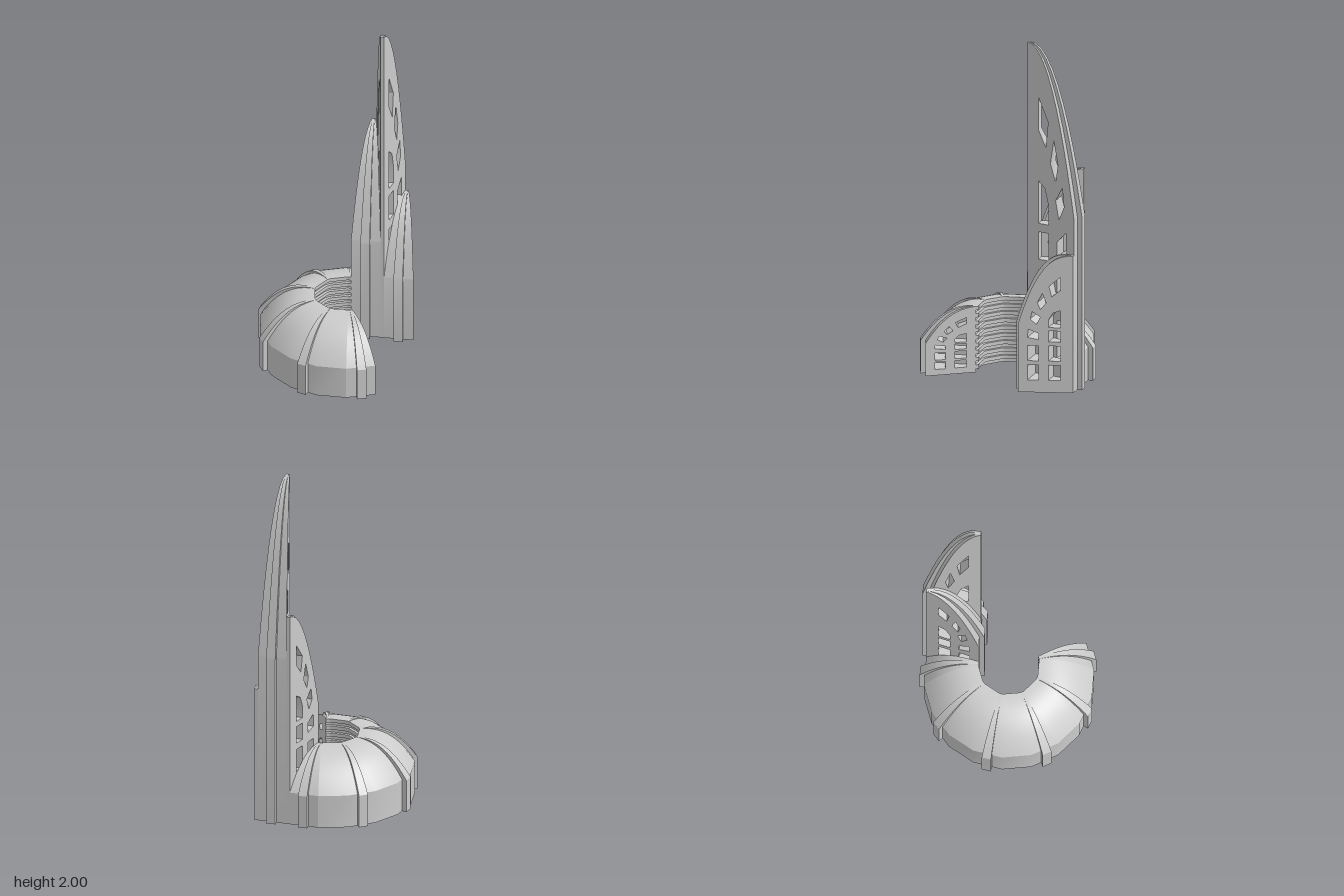
import * as THREE from 'three';
import { toCreasedNormals } from 'three/addons/utils/BufferGeometryUtils.js';

const L = 0.3, NARROW = 0.02, WIDE = 0.167;   // plan of one wedge
const R0 = 0.172, CX = 0.05;                  // inner radius and centre of the ring
const RING_H = 0.385, RING_P = 2.4;
const rad = THREE.MathUtils.degToRad;
const material = new THREE.MeshStandardMaterial({ color: 0xcccccc });
const V = (x, y) => new THREE.Vector2(x, y);

// Curved crown from the wide end (t = 1) up to the peak at the narrow end (t = 0)
function crown(h, p) {
  const pts = [];
  for (let i = 0; i <= 14; i++) {
    const t = Math.cos((i / 14) * Math.PI / 2);
    pts.push(V(t * L, h * (1 - 0.5 * Math.pow(t, p))));
  }
  return pts;
}

// Counter-clockwise wedge outline; louvred cuts grooves into the narrow edge
function outline(h, p, louvred) {
  const pts = [V(L, 0), ...crown(h, p)];
  if (!louvred) return [...pts, V(0, 0)];
  const step = h / 9, d = 0.016;
  for (let k = 0; k < 9; k++) {
    const y = h - k * step;
    if (k) pts.push(V(0, y));
    pts.push(V(0, y - step / 2), V(d, y - step / 2), V(d, k === 8 ? 0 : y - step));
  }
  return pts;
}

// Window corners as fractions of wedge length and height
const rect = (a, b, c, d) => [[a, c], [b, c], [b, d], [a, d]];
const windows = [
  [[0.23, 0.75], [0.39, 0.7], [0.44, 0.775], [0.23, 0.845]],
  [[0.49, 0.655], [0.6, 0.605], [0.65, 0.655], [0.56, 0.725]],
  [[0.6, 0.55], [0.67, 0.495], [0.78, 0.535], [0.745, 0.59]],
  [[0.23, 0.475], [0.45, 0.475], [0.45, 0.53], [0.37, 0.58], [0.23, 0.6]],
  [[0.63, 0.385], [0.83, 0.4], [0.82, 0.46], [0.63, 0.43]],
];
for (const [a, b] of [[0.23, 0.45], [0.63, 0.83]]) {
  windows.push(rect(a, b, 0.09, 0.2), rect(a, b, 0.23, 0.34));
}
windows.push(rect(0.23, 0.45, 0.37, 0.45));

// Extrude an outline and taper its thickness from the narrow to the wide end
function taper(shape, narrow, wide) {
  const g = new THREE.ExtrudeGeometry(shape, { depth: 1, bevelEnabled: false, curveSegments: 1 });
  const pos = g.attributes.position;
  for (let i = 0; i < pos.count; i++) {
    const w = narrow + (wide - narrow) * pos.getX(i) / L;
    pos.setZ(i, (pos.getZ(i) - 0.5) * w);
  }
  return toCreasedNormals(g, 0.5);
}

function mesh(geometry, name) {
  const m = new THREE.Mesh(geometry, material);
  m.name = name;
  return m;
}

// Pierced wedge wall
function wedge(h, p, louvred) {
  const shape = new THREE.Shape(outline(h, p, louvred));
  for (const w of windows) shape.holes.push(new THREE.Path(w.map(([u, y]) => V(u * L, y * h))));
  return mesh(taper(shape, NARROW, WIDE), 'piercedWedge');
}

// Raised band that follows the crown
function rib(h, p) {
  const c = crown(h, p), dy = Math.min(0.02 * h, 0.015);
  const outer = c.map(v => V(v.x * (1 + 0.028 / L), v.y + dy * Math.sin(Math.PI * v.x / L)));
  const inner = c.map(v => V(v.x * (1 - 0.02 / L), v.y - 0.03 * h)).reverse();
  const shape = new THREE.Shape([V(L + 0.028, 0), ...outer, ...inner, V(L - 0.02, 0)]);
  return mesh(taper(shape, 0.01, 0.05), 'rib');
}

// Put a part with its narrow end at (x, z), widening along (dx, dz)
function place(part, x, z, dx, dz) {
  part.position.set(x, 0, z);
  part.rotation.y = Math.atan2(-dz, dx);
  return part;
}

// Solid C-shaped dome lofted through radial stations
function ringGeometry(ribAngles) {
  const section = outline(RING_H, RING_P, true), n = section.length;
  const stations = [];
  for (const a of ribAngles) {
    for (const side of [-0.5, 0.5]) {
      const c = Math.cos(rad(a)), s = Math.sin(rad(a));
      stations.push(section.map(({ x: u, y }) => {
        const w = side * (NARROW + (WIDE - NARROW) * u / L), r = R0 + u;
        return [CX - c * r + s * w, y, s * r + c * w];
      }));
    }
  }
  const loops = stations.slice(1, -1), last = loops.length - 1, index = [];
  for (let i = 0; i < last; i++) {
    for (let j = 0; j < n; j++) {
      const a = i * n + j, b = i * n + (j + 1) % n;
      index.push(a, a + n, b + n, a, b + n, b);
    }
  }
  for (const [a, b, c] of THREE.ShapeUtils.triangulateShape(section, [])) {
    index.push(a, b, c, last * n + a, last * n + c, last * n + b);
  }
  const g = new THREE.BufferGeometry();
  g.setAttribute('position', new THREE.Float32BufferAttribute(loops.flat(2), 3));
  g.setIndex(index);
  return toCreasedNormals(g.toNonIndexed(), 0.5);
}

export function createModel() {
  const model = new THREE.Group();
  model.name = 'building';

  // Low ring hall with ribs and pierced end walls
  const hall = new THREE.Group();
  hall.name = 'ringHall';
  const ribAngles = [-100, -60, -20, 20, 60, 100];
  hall.add(mesh(ringGeometry(ribAngles), 'ringDome'));
  for (const a of ribAngles) {
    const dx = -Math.cos(rad(a)), dz = Math.sin(rad(a));
    const x = CX + dx * R0, z = dz * R0;
    hall.add(place(rib(RING_H, RING_P), x, z, dx, dz));
    if (Math.abs(a) === 100) hall.add(place(wedge(RING_H, RING_P, true), x, z, dx, dz));
  }
  model.add(hall);

  // Row of towers: wedges of alternating direction continuing the ring's end
  const dx = Math.sin(rad(10)), dz = -Math.cos(rad(10));
  const step = (NARROW + WIDE) / 2;
  const towers = [
    ['middleTower', 1.26, 2.1],
    ['tallTower', 2, 2.1],
    ['shortTower', 0.8, 2.6],
  ];
  towers.forEach(([name, h, p], i) => {
    const tower = new THREE.Group();
    tower.name = name;
    tower.add(wedge(h, p, false), rib(h, p));
    const k = (i + 1) * step;
    const x = CX + dx * R0 - dz * k, z = dz * R0 + dx * k;
    if (i % 2) place(tower, x, z, dx, dz);
    else place(tower, x + dx * L, z + dz * L, -dx, -dz);
    model.add(tower);
  });
  return model;
}
